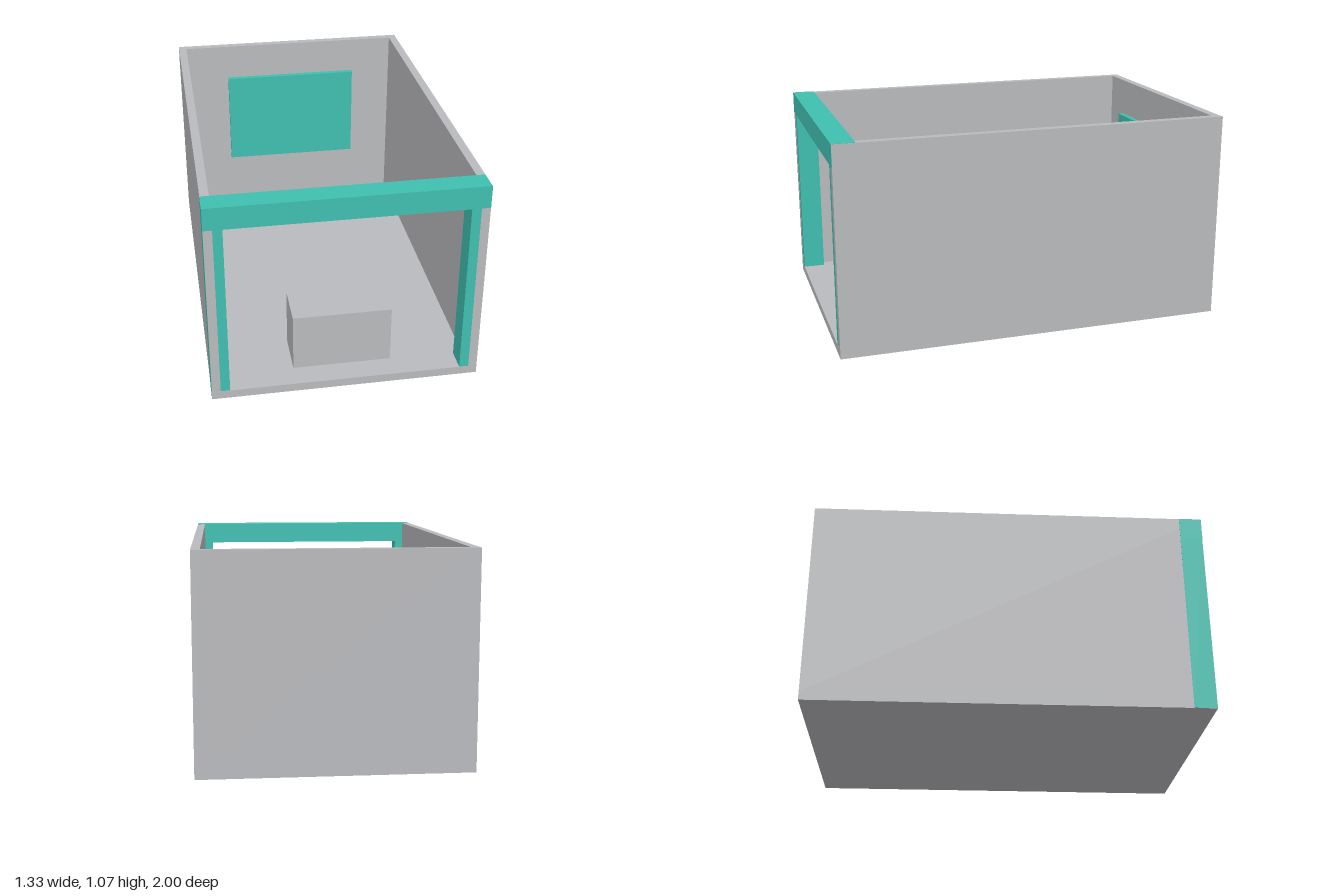
import * as THREE from 'three';

export function createModel() {
  const model = new THREE.Group();
  model.name = 'openBooth';

  const grey = new THREE.MeshStandardMaterial({ color: 0xb9babd });
  grey.name = 'wall grey';
  const teal = new THREE.MeshStandardMaterial({ color: 0x3fbfb0 });
  teal.name = 'trim teal';

  // Box given by its extents along each axis
  function block(name, material, [x0, x1], [y0, y1], [z0, z1]) {
    const mesh = new THREE.Mesh(new THREE.BoxGeometry(x1 - x0, y1 - y0, z1 - z0), material);
    mesh.position.set((x0 + x1) / 2, (y0 + y1) / 2, (z0 + z1) / 2);
    mesh.name = name;
    model.add(mesh);
  }

  const W = 0.664, H = 1.065, D = 0.999, T = 0.043;

  // Shell: floor, side walls and back wall, open at the front and top
  block('floor', grey, [-W, W], [0, T], [-1, D]);
  block('leftWall', grey, [W - T, W], [T, H], [-1, D]);
  block('rightWall', grey, [-W, T - W], [T, H], [-1, D]);
  block('backWall', grey, [T - W, W - T], [T, H], [-1, T - 1]);

  // Entrance frame: two pillars and a header beam; trim sits just proud on the right side
  block('leftPillar', teal, [0.575, W - 0.001], [0.001, 0.955], [0.885, D - 0.001]);
  block('rightPillar', teal, [-W - 0.001, -0.575], [0.001, 0.955], [0.885, D - 0.001]);
  block('headerBeam', teal, [-W - 0.001, W - 0.001], [0.952, H + 0.001], [0.885, 1]);
  // Header face covering the front end of the left wall
  block('headerEdge', teal, [W - T, W], [0.952, H + 0.001], [D - 0.001, 1]);

  // Display panel with its backing plate
  block('displayPanel', teal, [-0.38, 0.38], [0.35, 0.88], [-0.925, -0.895]);
  block('displayBacking', grey, [-0.365, 0.365], [0.365, 0.865], [-0.945, -0.925]);

  // Counter near the entrance
  block('counter', grey, [-0.247, 0.247], [T, 0.343], [0.645, 0.875]);

  return model;
}
